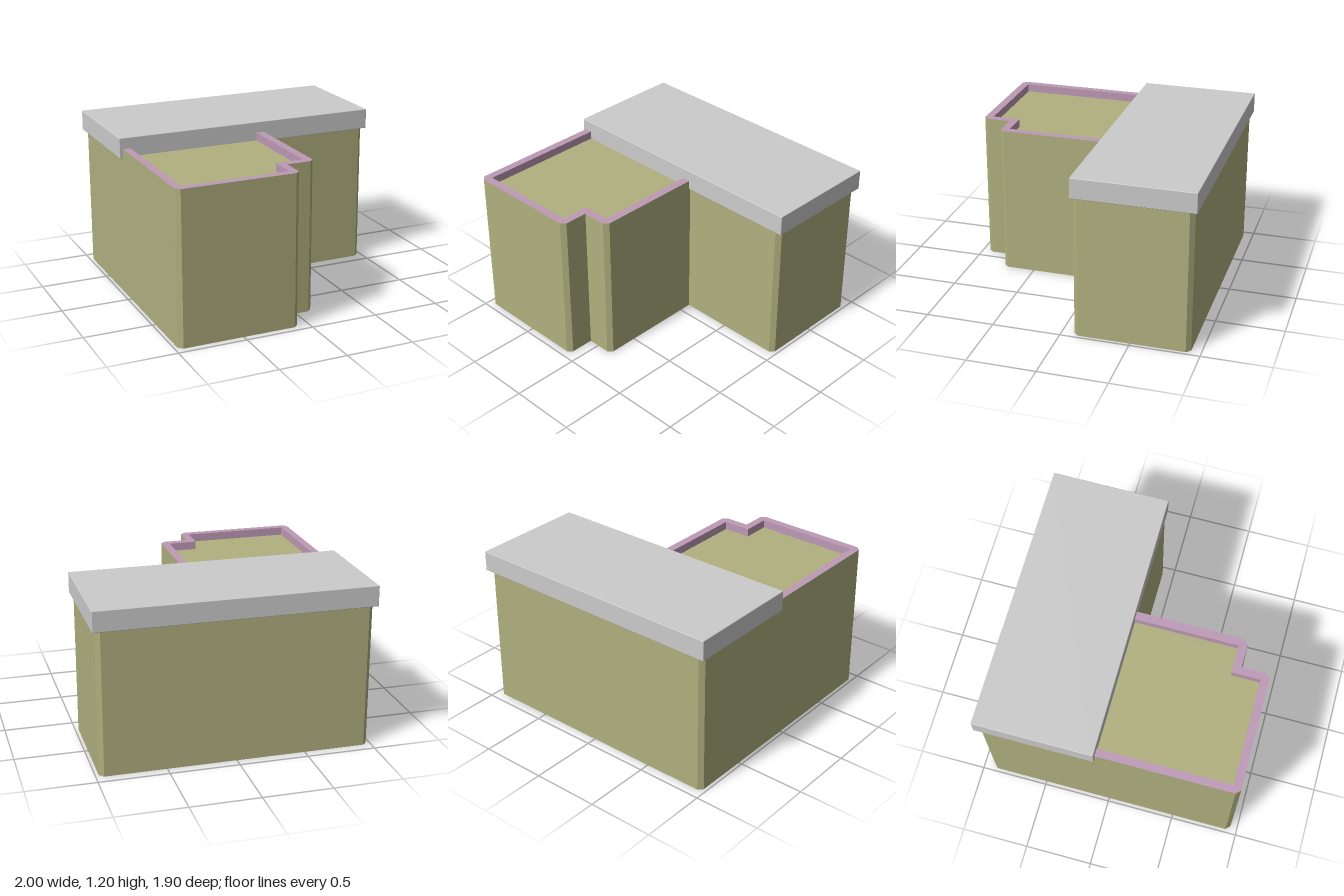
import * as THREE from 'three';
import { RoundedBoxGeometry } from 'three/addons/geometries/RoundedBoxGeometry.js';

const green = new THREE.MeshStandardMaterial({ color: 0xb0b07f });
const mauve = new THREE.MeshStandardMaterial({ color: 0xbd9ab6 });
const grey = new THREE.MeshStandardMaterial({ color: 0xcccccc });

const FLOOR = 1.06, RIM = 1.12;

// Plan shape from [x, z] points, laid flat after rotateX(-90 degrees)
const planShape = (pts) => new THREE.Shape(pts.map(([x, z]) => new THREE.Vector2(x, -z)));

// Vertical wall along a path; outward side lies to the right of travel seen from above
function wallStrip(path, y0, y1) {
  const pos = [];
  for (let i = 0; i < path.length - 1; i++) {
    const [ax, az] = path[i], [bx, bz] = path[i + 1];
    pos.push(ax, y0, az, bx, y0, bz, bx, y1, bz, ax, y0, az, bx, y1, bz, ax, y1, az);
  }
  const geo = new THREE.BufferGeometry();
  geo.setAttribute('position', new THREE.Float32BufferAttribute(pos, 3));
  geo.computeVertexNormals();
  return geo;
}

export function createModel() {
  const group = new THREE.Group();
  const add = (name, geo, mat) => {
    const mesh = new THREE.Mesh(geo, mat);
    mesh.name = name;
    group.add(mesh);
    return mesh;
  };

  // Outer and inner edges of the stepped front wing, with chamfered convex corners
  const wingOuter = [
    [-0.975, -0.09], [-0.975, 0.917], [-0.943, 0.949], [-0.112, 0.949], [-0.08, 0.917],
    [-0.08, 0.742], [0.098, 0.742], [0.13, 0.71], [0.13, -0.09],
  ];
  const wingInner = [
    [-0.918, -0.09], [-0.918, 0.89], [-0.138, 0.89], [-0.138, 0.682], [0.07, 0.682], [0.07, -0.09],
  ];

  // Solid walls of the wing and the rear block
  const footprint = [
    ...wingOuter,
    [0.943, -0.09], [0.975, -0.122], [0.975, -0.895], [0.943, -0.927],
    [-0.943, -0.927], [-0.975, -0.895],
  ];
  const body = new THREE.ExtrudeGeometry(planShape(footprint), { depth: FLOOR, bevelEnabled: false });
  add('buildingWalls', body.rotateX(-Math.PI / 2), green);

  // Parapet round the flat roof of the wing: outer face, inner face and coping
  add('parapetOuterFace', wallStrip(wingOuter, FLOOR, RIM), green);
  const innerPath = wingInner.slice().reverse();
  add('parapetInnerFace', wallStrip(innerPath, FLOOR, RIM), mauve);
  const coping = new THREE.ShapeGeometry(planShape([...wingOuter, ...innerPath]));
  add('parapetCoping', coping.rotateX(-Math.PI / 2).translate(0, RIM, 0), mauve);

  // Overhanging roof slab on the rear block
  const slab = add('roofSlab', new RoundedBoxGeometry(2, 0.15, 0.872, 2, 0.005), grey);
  slab.position.set(0, 1.126, -0.514);

  return group;
}
